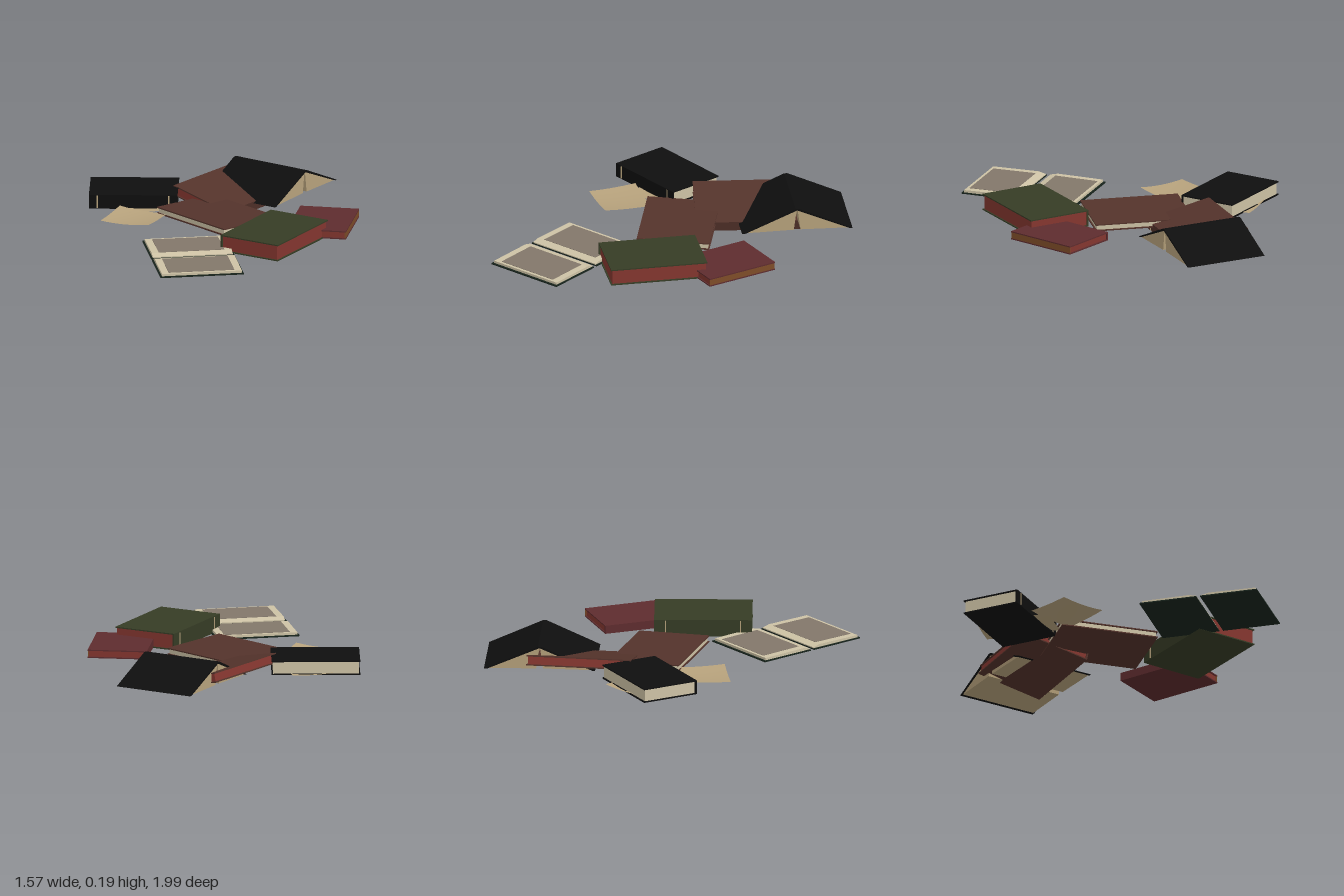
import * as THREE from 'three';

const paint = (name, color) => {
  const m = new THREE.MeshStandardMaterial({ color, side: THREE.DoubleSide });
  m.name = name;
  return m;
};

export function createModel() {
  const root = new THREE.Group();
  root.name = 'scatteredBooks';

  const black = paint('blackCover', 0x0e0e0e);
  const brown = paint('brownCover', 0x54332b);
  const green = paint('greenCover', 0x363c25);
  const maroon = paint('maroonCover', 0x5e2c2e);
  const darkGreen = paint('darkGreenCover', 0x18241c);
  const red = paint('redPageEdge', 0x84362f);
  const rust = paint('rustPageEdge', 0x7d4c28);
  const tan = paint('tanPaper', 0xb7a27c);
  const cream = paint('creamPaper', 0xcdc2a5);
  const grey = paint('printedArea', 0x82776a);

  const add = (parent, name, geometry, material, x = 0, y = 0, z = 0) => {
    const mesh = new THREE.Mesh(geometry, material);
    mesh.name = name;
    mesh.position.set(x, y, z);
    parent.add(mesh);
    return mesh;
  };
  const box = (parent, name, size, material, pos) =>
    add(parent, name, new THREE.BoxGeometry(...size), material, ...pos);
  const prism = (parent, name, points, depth, material) => {
    const shape = new THREE.Shape(points.map(p => new THREE.Vector2(...p)));
    const geometry = new THREE.ExtrudeGeometry(shape, { depth, bevelEnabled: false });
    geometry.translate(0, 0, -depth / 2);
    return add(parent, name, geometry, material);
  };

  // Closed book: spine along local x on the +z side, facing direction "out"
  const book = ({ name, at, out, L, W, H, cover, pages, spine = true, tilt = 0, bands = 0 }) => {
    const g = new THREE.Group();
    g.name = name;
    g.position.set(...at);
    g.rotation.set(tilt, Math.atan2(...out), 0, 'YXZ');
    const t = 0.007;
    for (const s of [1, -1]) {
      box(g, s > 0 ? 'frontCover' : 'backCover', [L, t, W], cover, [0, s * (H - t) / 2, 0]);
    }
    box(g, 'pageBlock', [L - 0.016, H - 2 * t, W - 0.016], pages, [0, 0, 0]);
    if (spine) box(g, 'spine', [L, H - 2 * t, 0.01], cover, [0, 0, W / 2 - 0.005]);
    if (bands) {
      for (const s of [1, -1]) {
        box(g, 'spineBand', [0.008, H * 0.9, 0.004], tan, [s * bands, 0, W / 2 + 0.001]);
      }
    }
    root.add(g);
    return g;
  };

  book({ name: 'blackBook', at: [-0.475, 0.0925, -0.585], out: [-0.17, 0.49],
    L: 0.52, W: 0.35, H: 0.085, cover: black, pages: cream, bands: 0.21 });
  book({ name: 'tiltedBrownBook', at: [0.11, 0.0725, -0.52], out: [0.23, 0.34],
    L: 0.62, W: 0.41, H: 0.06, cover: brown, pages: red, tilt: 0.205, bands: 0.25 });
  book({ name: 'centreBrownBook', at: [-0.11, 0.068, -0.105], out: [0.39, -0.18],
    L: 0.586, W: 0.43, H: 0.042, cover: brown, pages: cream, spine: false, tilt: 0.03 });
  book({ name: 'greenBook', at: [0.06, 0.098, 0.465], out: [-0.26, -0.29],
    L: 0.575, W: 0.39, H: 0.1, cover: green, pages: red, bands: 0.22 });
  const maroonBook = book({ name: 'maroonBook', at: [0.43, 0.075, 0.24], out: [-0.31, -0.16],
    L: 0.45, W: 0.35, H: 0.05, cover: maroon, pages: red });
  box(maroonBook, 'foreEdge', [0.446, 0.036, 0.006], rust, [0, 0, -0.17]);

  // Book standing face down like a tent
  const tent = new THREE.Group();
  tent.name = 'tentBook';
  tent.position.set(0.367, 0, -0.6);
  tent.rotation.y = Math.atan2(0.315, 0.39);
  prism(tent, 'tentCover',
    [[-0.327, 0.05], [-0.01, 0.192], [0.01, 0.192], [0.327, 0.05], [0.31, 0.05], [0, 0.183], [-0.31, 0.05]],
    0.5, black);
  for (const s of [1, -1]) {
    prism(tent, 'tentPages', [[s * 0.003, 0.18], [s * 0.307, 0.051], [s * 0.02, 0.056]], 0.485, tan);
  }
  root.add(tent);

  // Open book lying flat, two mirrored halves
  const open = new THREE.Group();
  open.name = 'openBook';
  open.position.set(-0.479, 0, 0.596);
  open.rotation.y = -0.152;
  for (const s of [1, -1]) {
    const half = new THREE.Group();
    half.name = s > 0 ? 'backHalf' : 'frontHalf';
    half.rotation.y = s * Math.PI / 2;
    box(half, 'openCover', [0.346, 0.007, 0.495], darkGreen, [0.185, 0.0525, 0]);
    prism(half, 'openPages',
      [[0.014, 0.056], [0.345, 0.056], [0.345, 0.07], [0.06, 0.073], [0.014, 0.062]], 0.475, cream);
    const print = box(half, 'printedPanel', [0.265, 0.002, 0.39], grey, [0.195, 0.0722, 0]);
    print.rotation.z = -0.0105;
    open.add(half);
  }
  root.add(open);

  // Loose curled sheets
  const sheet = (name, x, z, w, d, yaw, y, curl) => {
    const geometry = new THREE.PlaneGeometry(w, d, 8, 8).rotateX(-Math.PI / 2);
    const p = geometry.attributes.position;
    for (let i = 0; i < p.count; i++) {
      const u = p.getX(i) / w, v = p.getZ(i) / d;
      p.setY(i, curl * (2 * u * u + v * v + u * v));
    }
    geometry.computeVertexNormals();
    add(root, name, geometry, tan, x, y, z).rotation.y = yaw;
  };
  sheet('looseSheetFront', -0.585, -0.235, 0.305, 0.285, -0.71, 0.052, 0.02);
  sheet('looseSheetBack', -0.43, -0.545, 0.25, 0.445, -0.15, 0.052, 0.012);

  return root;
}
